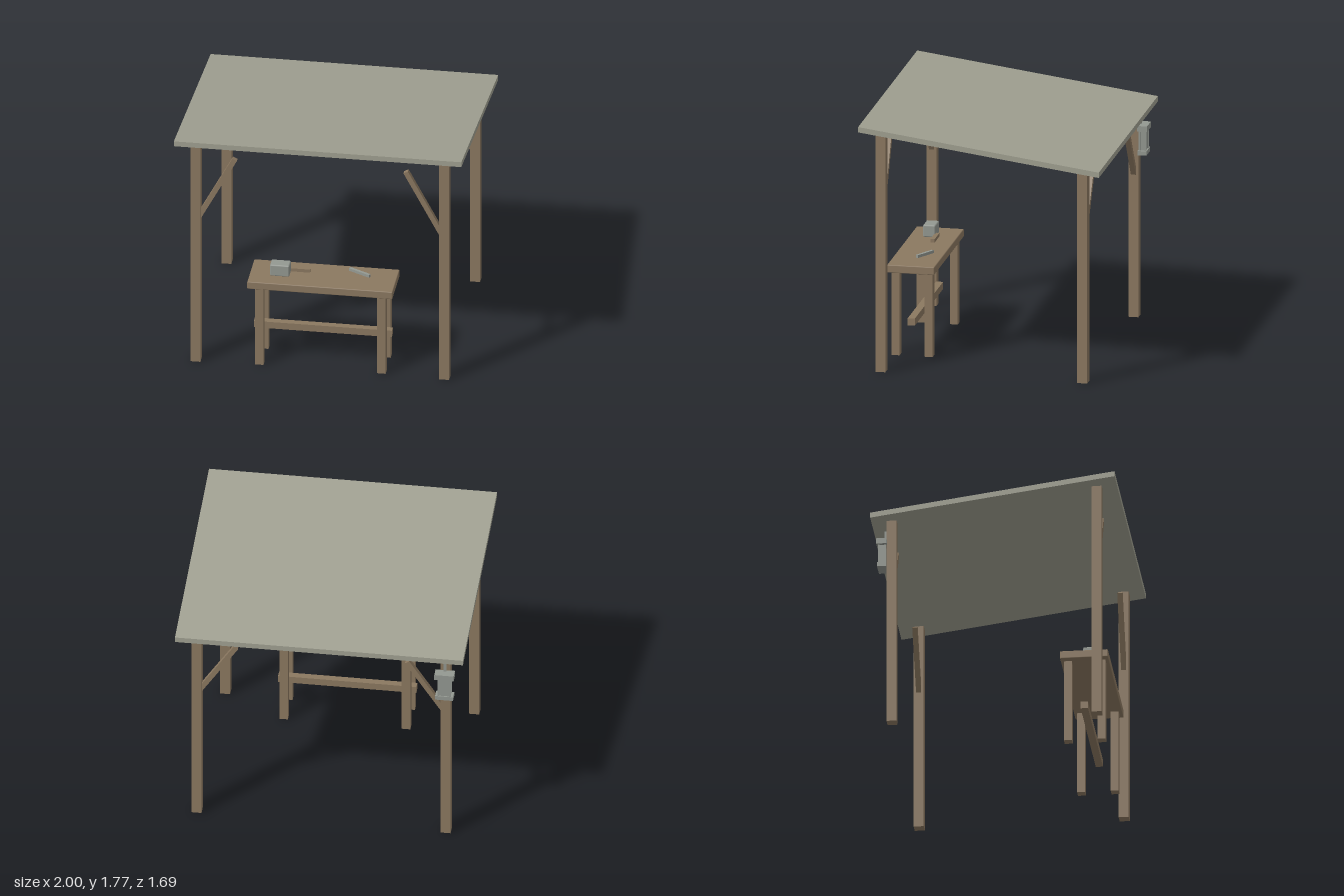
import * as THREE from 'three';
import { RoundedBoxGeometry } from 'three/addons/geometries/RoundedBoxGeometry.js';

export function createModel() {
  const model = new THREE.Group();
  model.name = 'openShelter';
  const mat = (name, color) => {
    const m = new THREE.MeshStandardMaterial({ color });
    m.name = name;
    return m;
  };
  const wood = mat('weatheredWood', 0x8b7860);
  const roofing = mat('greyRoofing', 0xa0a091);
  const metal = mat('dullMetal', 0x939891);

  // Box from size and centre; a bevel softens the edges
  function box(name, material, [w, h, d], [x, y, z], parent = model, bevel = 0) {
    const geo = bevel ? new RoundedBoxGeometry(w, h, d, 1, bevel) : new THREE.BoxGeometry(w, h, d);
    const mesh = new THREE.Mesh(geo, material);
    mesh.name = name;
    mesh.position.set(x, y, z);
    parent.add(mesh);
    return mesh;
  }

  // Sloping roof slab with upright edges
  const roof = box('roof', roofing, [2, 0.038, 1.69], [0, 1.635, 0]);
  const p = roof.geometry.attributes.position;
  for (let i = 0; i < p.count; i++) p.setY(i, p.getY(i) + p.getZ(i) * 0.136);
  roof.geometry.computeVertexNormals();

  // Posts with a diagonal brace each; the back pair is shorter
  const frames = [
    { end: 'front', z: 0.71, height: 1.71, low: 1.115, high: 1.592 },
    { end: 'back', z: -0.708, height: 1.518, low: 1.018, high: 1.402 },
  ];
  for (const f of frames) {
    for (const side of [-1, 1]) {
      const label = f.end + (side > 0 ? 'Left' : 'Right');
      box(label + 'Post', wood, [0.07, f.height, 0.07], [side * 0.865, f.height / 2, f.z]);
      const run = 0.255, rise = f.high - f.low;
      const brace = box(label + 'Brace', wood, [0.035, Math.hypot(run, rise), 0.035],
        [side * (0.595 + run / 2), (f.low + f.high) / 2, f.z]);
      brace.rotation.z = side * Math.atan2(run, rise);
    }
  }

  // Workbench
  const bench = new THREE.Group();
  bench.name = 'workbench';
  model.add(bench);
  box('benchTop', wood, [1.01, 0.056, 0.332], [0, 0.627, 0.58], bench, 0.006);
  for (const x of [-0.425, 0.425]) {
    for (const z of [0.463, 0.695]) box('benchLeg', wood, [0.06, 0.6, 0.056], [x, 0.3, z], bench);
  }
  box('benchStretcher', wood, [0.96, 0.05, 0.05], [0, 0.25, 0.58], bench);

  // Tools on the bench
  box('malletHead', metal, [0.135, 0.086, 0.088], [-0.295, 0.702, 0.602], model, 0.009);
  box('malletHandle', wood, [0.165, 0.024, 0.03], [-0.177, 0.674, 0.55]);
  box('chisel', metal, [0.17, 0.02, 0.02], [0.247, 0.675, 0.533]).rotation.y = -0.49;

  // Lantern hung on the back of the right rear post
  const lantern = new THREE.Group();
  lantern.name = 'lantern';
  lantern.position.set(-0.863, 0, -0.774);
  model.add(lantern);
  box('lanternHook', metal, [0.02, 0.08, 0.016], [0, 1.41, 0.022], lantern);
  box('lanternCap', metal, [0.135, 0.04, 0.07], [0, 1.355, -0.002], lantern);
  box('lanternBody', metal, [0.08, 0.14, 0.046], [0, 1.265, 0], lantern);
  box('lanternBase', metal, [0.125, 0.03, 0.064], [0, 1.18, 0], lantern);
  for (const x of [-0.041, 0.041]) {
    for (const z of [-0.022, 0.022]) box('lanternBar', metal, [0.012, 0.14, 0.012], [x, 1.265, z], lantern);
  }
  return model;
}
